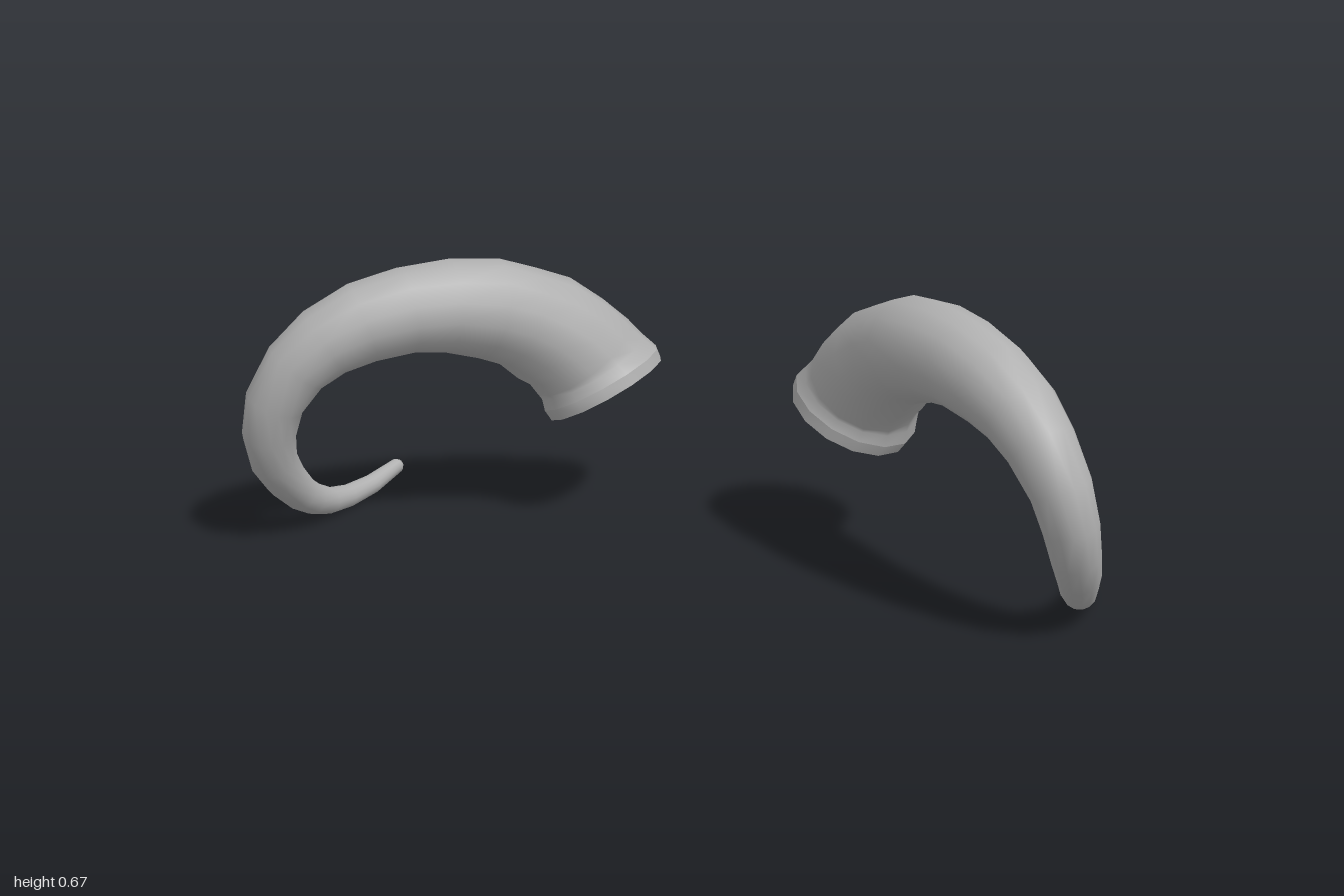
import * as THREE from 'three';

const SIDES = 14;

// Centre line of the left horn with its radius: x, y, z, r
const RINGS = [
  [0.305, 0.31, -0.21, 0.17],
  [0.318, 0.335, -0.207, 0.17],
  [0.335, 0.366, -0.195, 0.154],
  [0.35, 0.392, -0.178, 0.146],
  [0.38, 0.435, -0.147, 0.139],
  [0.42, 0.475, -0.107, 0.132],
  [0.465, 0.513, -0.057, 0.122],
  [0.515, 0.54, -0.003, 0.12],
  [0.585, 0.558, 0.068, 0.109],
  [0.66, 0.558, 0.135, 0.103],
  [0.74, 0.538, 0.205, 0.096],
  [0.81, 0.5, 0.258, 0.085],
  [0.865, 0.445, 0.295, 0.077],
  [0.915, 0.36, 0.313, 0.068],
  [0.937, 0.28, 0.305, 0.062],
  [0.944, 0.205, 0.275, 0.055],
  [0.942, 0.145, 0.225, 0.049],
  [0.933, 0.093, 0.17, 0.042],
  [0.926, 0.066, 0.125, 0.038],
  [0.918, 0.041, 0.06, 0.032],
  [0.91, 0.028, -0.02, 0.028],
  [0.891, 0.031, -0.115, 0.024],
  [0.866, 0.053, -0.207, 0.018],
  [0.864, 0.055, -0.216, 0.012],
];

// Rings of points carried along the centre line without twist
function hornRings() {
  const centres = RINGS.map(([x, y, z]) => new THREE.Vector3(x, y, z));
  const baseNormal = new THREE.Vector3(0.46, 0.88, 0.08).normalize();
  const across = new THREE.Vector3(0, 0, 1);
  return centres.map((c, i) => {
    const a = centres[Math.max(i - 1, 0)];
    const b = centres[Math.min(i + 1, centres.length - 1)];
    const tangent = b.clone().sub(a).normalize();
    // the flared mouth is cut at its own angle, easing into the curve
    tangent.lerp(baseNormal, Math.max(0, 1 - Math.max(0, i - 1) / 4)).normalize();
    across.addScaledVector(tangent, -across.dot(tangent)).normalize();
    const up = new THREE.Vector3().crossVectors(tangent, across);
    const squash = Math.min(1, 0.87 + i * 0.025);
    return Array.from({ length: SIDES }, (_, k) => {
      const t = (k / SIDES) * Math.PI * 2;
      // faint uneven growth ridges on the thick half
      const r = RINGS[i][3] * (1 + (i > 2 && i < 12 ? 0.018 * Math.sin(i * 2.4 + k * 0.9) : 0));
      return c.clone()
        .addScaledVector(across, Math.cos(t) * r)
        .addScaledVector(up, Math.sin(t) * r * squash);
    });
  });
}

function makeGeometry(points, index, side) {
  const geometry = new THREE.BufferGeometry();
  geometry.setAttribute('position', new THREE.Float32BufferAttribute(
    points.flatMap((p) => [p.x * side, p.y, p.z]), 3));
  // mirrored copies need their corners reversed
  if (side < 0) index = index.slice().reverse();
  geometry.setIndex(index);
  geometry.computeVertexNormals();
  return geometry;
}

function skin(rings, side) {
  const index = [];
  for (let i = 0; i < rings.length - 1; i++) {
    for (let k = 0; k < SIDES; k++) {
      const n = (k + 1) % SIDES;
      const a = i * SIDES + k, b = i * SIDES + n;
      index.push(a, b, b + SIDES, a, b + SIDES, a + SIDES);
    }
  }
  return makeGeometry(rings.flat(), index, side);
}

function cap(ring, side, flip) {
  const index = [];
  for (let k = 1; k < SIDES - 1; k++) index.push(...(flip ? [0, k + 1, k] : [0, k, k + 1]));
  return makeGeometry(ring, index, side);
}

export function createModel() {
  const model = new THREE.Group();
  const hornGrey = new THREE.MeshStandardMaterial({ color: 0xb0b0b0 });
  hornGrey.name = 'hornGrey';
  const rings = hornRings();

  for (const [name, side] of [['left', 1], ['right', -1]]) {
    const horn = new THREE.Group();
    horn.name = name + 'Horn';
    const parts = {
      // flared rim and its flat underside are kept hard-edged
      Rim: skin(rings.slice(0, 2), side),
      Shaft: skin(rings.slice(1), side),
      BaseCap: cap(rings[0], side, true),
      TipCap: cap(rings[rings.length - 1], side, false),
    };
    for (const [part, geometry] of Object.entries(parts)) {
      const mesh = new THREE.Mesh(geometry, hornGrey);
      mesh.name = name + part;
      horn.add(mesh);
    }
    model.add(horn);
  }
  return model;
}
